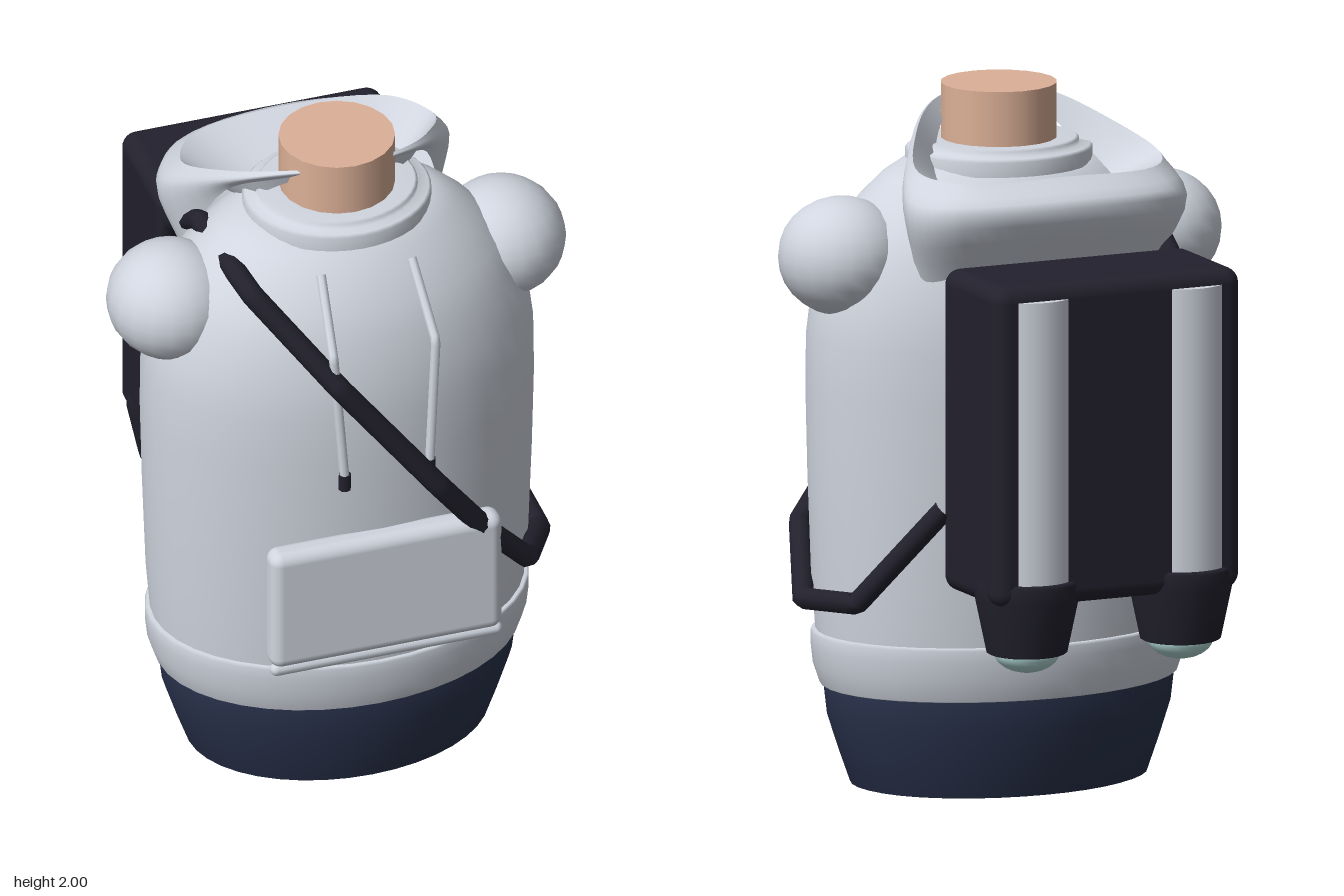
import * as THREE from 'three';
import { RoundedBoxGeometry } from 'three/addons/geometries/RoundedBoxGeometry.js';

const V = (p) => new THREE.Vector3(...p);
const CZ = 0.165; // depth of the body axis
const DEPTH = 0.725; // body is an ellipse, shallower than wide

export function createModel() {
  const model = new THREE.Group();
  const mat = (name, color) => {
    const m = new THREE.MeshStandardMaterial({ color });
    m.name = name;
    return m;
  };
  const cloth = mat('paleGreyCloth', 0xd0d5df);
  cloth.side = THREE.DoubleSide;
  const dark = mat('darkFabric', 0x22212d);
  const navy = mat('navyTrousers', 0x29324c);
  const skin = mat('skin', 0xdcb097);
  const glow = mat('paleTealGlow', 0xb4dcd8);

  const add = (name, geo, material, x = 0, y = 0, z = 0) => {
    const mesh = new THREE.Mesh(geo, material);
    mesh.name = name;
    mesh.position.set(x, y, z);
    model.add(mesh);
    return mesh;
  };
  const lathe = (pts, zScale = 1, seg = 40) =>
    new THREE.LatheGeometry(pts.map((p) => new THREE.Vector2(...p)), seg).scale(1, 1, zScale);
  // straight-segmented tube through points
  const tube = (pts, r, segs, sides) =>
    new THREE.TubeGeometry(new THREE.CatmullRomCurve3(pts.map(V), false, 'catmullrom', 0), segs, r, sides);

  // Body
  add('trousers', lathe([[0, 0], [0.43, 0], [0.44, 0.003], [0.475, 0.1], [0.508, 0.2], [0.52, 0.3], [0.5, 0.34]], DEPTH), navy, 0, 0, CZ);
  add('hemBand', lathe([[0.45, 0.29], [0.525, 0.29], [0.53, 0.293], [0.55, 0.35], [0.557, 0.41], [0.557, 0.442], [0.552, 0.45], [0.5, 0.45]], DEPTH), cloth, 0, 0, CZ);
  add('torso', lathe([[0.54, 0.42], [0.555, 0.6], [0.566, 0.9], [0.572, 1.15], [0.57, 1.3], [0.555, 1.42], [0.515, 1.54],
    [0.47, 1.62], [0.41, 1.69], [0.345, 1.75], [0.28, 1.79], [0.15, 1.81]], DEPTH), cloth, 0, 0, CZ);
  add('collar', lathe([[0.27, 1.77], [0.27, 1.812], [0.262, 1.82], [0.232, 1.822], [0.23, 1.836], [0.222, 1.842], [0.15, 1.842]], 0.91), cloth, 0, 0, CZ);
  add('neck', new THREE.CylinderGeometry(0.165, 0.165, 0.25, 20), skin, 0, 1.875, CZ);
  for (const s of [1, -1]) {
    add(s > 0 ? 'leftShoulder' : 'rightShoulder', new THREE.SphereGeometry(1, 20, 14).scale(0.182, 0.17, 0.187), cloth, s * 0.493, 1.54, 0.158);
  }

  // Hood: rails running from the front tip around the back, mirrored
  const rail = (half) => {
    const other = half.slice(0, -1).reverse().map(([x, y, z]) => [-x, y, z]);
    return new THREE.CatmullRomCurve3([...half, ...other].map(V)).getPoints(60);
  };
  const inner = rail([[0, 1.965, 0.3], [0.15, 1.9, 0.21], [0.23, 1.8, 0.1], [0.26, 1.74, -0.03], [0.18, 1.72, -0.08], [0, 1.72, -0.09]]);
  const lip = rail([[0, 1.98, 0.3], [0.18, 1.95, 0.22], [0.3, 1.885, 0.08], [0.375, 1.815, -0.1], [0.29, 1.8, -0.24], [0, 1.805, -0.28]]);
  const bulge = rail([[0, 1.975, 0.31], [0.19, 1.94, 0.225], [0.32, 1.85, 0.08], [0.43, 1.71, -0.15], [0.33, 1.72, -0.3], [0, 1.73, -0.37]]);
  const lower = rail([[0, 1.965, 0.3], [0.18, 1.91, 0.2], [0.3, 1.81, 0.07], [0.37, 1.51, -0.1], [0.28, 1.53, -0.21], [0, 1.55, -0.26]]);
  const loft = (rails, n) => {
    const pos = [];
    const idx = [];
    const count = rails[0].length;
    for (let i = 0; i < count; i++) {
      const section = new THREE.CatmullRomCurve3(rails.map((r) => r[i]));
      for (let j = 0; j <= n; j++) pos.push(...section.getPoint(j / n).toArray());
    }
    for (let i = 0; i < count - 1; i++) {
      for (let j = 0; j < n; j++) {
        const a = i * (n + 1) + j;
        const b = a + n + 1;
        idx.push(a, a + 1, b, b, a + 1, b + 1);
      }
    }
    const g = new THREE.BufferGeometry();
    g.setAttribute('position', new THREE.Float32BufferAttribute(pos, 3));
    g.setIndex(idx);
    g.computeVertexNormals();
    return g;
  };
  add('hoodOutside', loft([lower, bulge, lip], 8), cloth);
  add('hoodLining', loft([lip, inner], 3), cloth);

  // Drawstrings with dark tips
  for (const s of [1, -1]) {
    add('drawstring', tube([[s * 0.135, 1.72, 0.43], [s * 0.152, 1.54, 0.595], [s * 0.127, 1.15, 0.615]], 0.014, 30, 8), cloth);
    add('drawstringTip', new THREE.CylinderGeometry(0.018, 0.018, 0.05, 8), dark, s * 0.126, 1.13, 0.615);
  }

  // Front pouch
  add('pouch', new RoundedBoxGeometry(0.69, 0.39, 0.085, 4, 0.035), cloth, 0, 0.72, 0.587);
  const piping = add('pouchPiping', new THREE.CapsuleGeometry(0.02, 0.65, 4, 10), cloth, 0, 0.52, 0.605);
  piping.rotation.z = Math.PI / 2;

  // Strap from the pack, over the shoulder, across the chest and back
  add('crossStrap', tube([[-0.34, 1.38, -0.3], [-0.36, 1.54, -0.2], [-0.36, 1.69, 0.02], [-0.35, 1.69, 0.22], [-0.345, 1.71, 0.45],
    [-0.14, 1.45, 0.61], [0.14, 1.08, 0.64], [0.3, 0.86, 0.595], [0.44, 0.7, 0.55], [0.585, 0.55, 0.22], [0.57, 0.59, -0.1], [0.38, 0.88, -0.28]],
  0.032, 120, 10), dark);

  // Backpack with two tanks and nozzles
  add('backpack', new RoundedBoxGeometry(0.77, 0.925, 0.375, 4, 0.045), dark, 0, 1.11, -0.447);
  for (const s of [1, -1]) {
    const x = s * 0.24;
    add('tank', new THREE.CylinderGeometry(0.135, 0.135, 0.84, 28), cloth, x, 1.11, -0.525);
    add('nozzle', lathe([[0, 0.5], [0.11, 0.5], [0.115, 0.503], [0.148, 0.66], [0.15, 0.705], [0.143, 0.715], [0, 0.715]], 1, 24), dark, x, 0, -0.525);
    add('nozzleGlow', new THREE.SphereGeometry(1, 20, 12).scale(0.094, 0.06, 0.094), glow, x, 0.503, -0.525);
  }
  return model;
}
